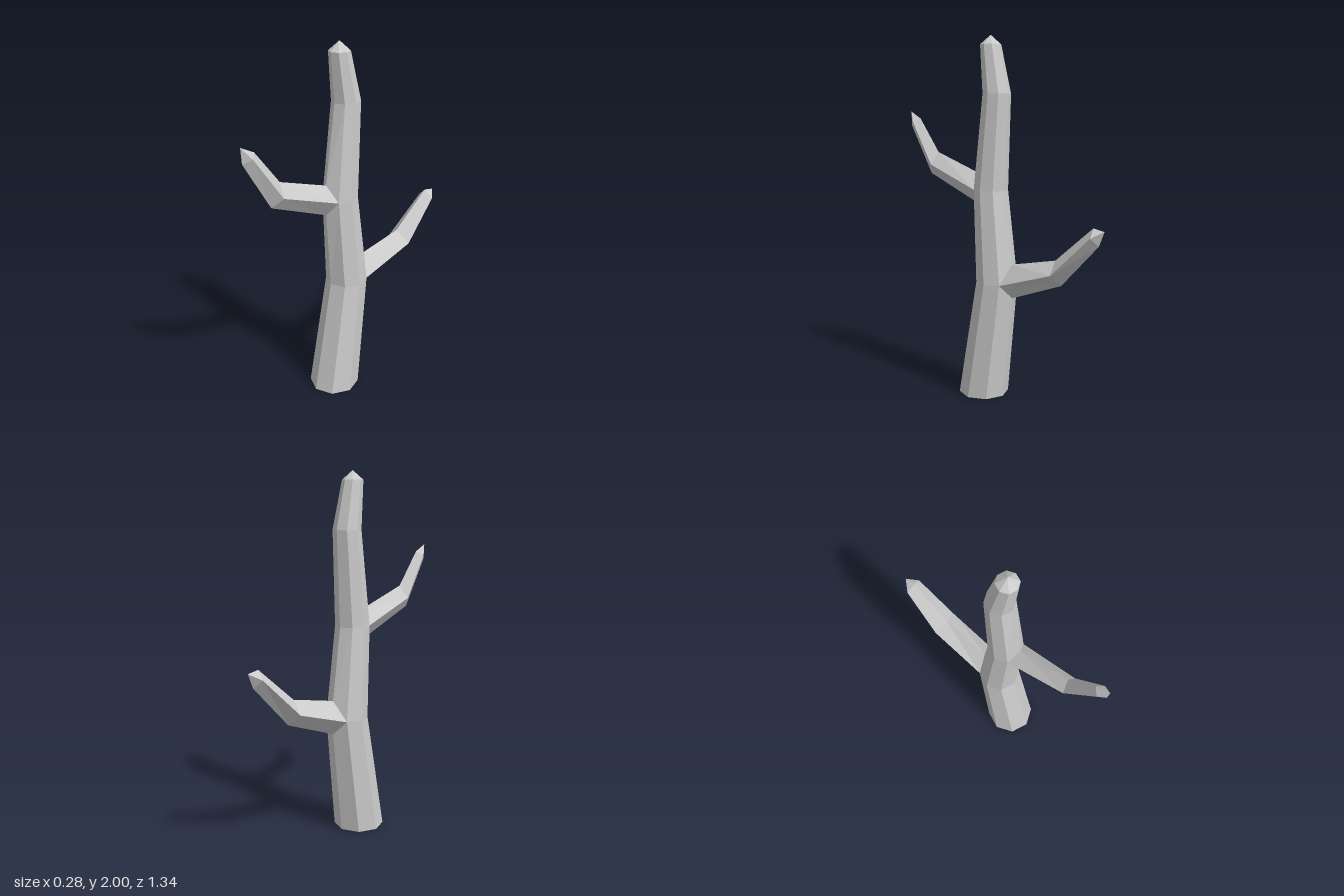
import * as THREE from 'three';

const material = new THREE.MeshStandardMaterial({
  color: 0xcccccc, flatShading: true, side: THREE.DoubleSide,
});

// Skins pairs of [lower, upper] cross-sections and closes the end with a pointed tip
function skin(name, strips, tip) {
  const pos = [];
  const tri = (...pts) => pts.forEach((p) => pos.push(...p));
  for (const [a, b] of strips) {
    a.forEach((p, i) => {
      const j = (i + 1) % a.length;
      tri(p, a[j], b[j]);
      tri(p, b[j], b[i]);
    });
  }
  const end = strips[strips.length - 1][1];
  end.forEach((p, i) => tri(p, end[(i + 1) % end.length], tip));
  const geo = new THREE.BufferGeometry();
  geo.setAttribute('position', new THREE.Float32BufferAttribute(pos, 3));
  geo.computeVertexNormals();
  const mesh = new THREE.Mesh(geo, material);
  mesh.name = name;
  return mesh;
}

// Eight-sided level ring of the trunk
function octagon({ y, z, r }) {
  return Array.from({ length: 8 }, (_, k) => {
    const t = (k * Math.PI) / 4;
    return [r * Math.cos(t), y, z - r * Math.sin(t)];
  });
}

// Four-sided branch; each section is side [x, y, z], top [y, z], bottom [y, z]
function branch(name, dir, sections, tip) {
  const rings = sections.map(({ side: [x, y, z], top, bottom }) => [
    [dir * x, y, z], [0, ...top], [-dir * x, y, z], [0, ...bottom],
  ]);
  return skin(name, rings.slice(1).map((r, i) => [rings[i], r]), tip);
}

export function createModel() {
  const group = new THREE.Group();
  group.name = 'bareTree';

  const back = [
    { side: [0.081, 0.66, -0.063], top: [0.77, -0.09], bottom: [0.58, -0.09] },
    { side: [0.08, 0.765, -0.398], top: [0.83, -0.375], bottom: [0.7, -0.414] },
    { side: [0.05, 0.98, -0.615], top: [1.025, -0.603], bottom: [0.935, -0.637] },
  ];
  const front = [
    { side: [0.067, 1.17, 0.127], top: [1.26, 0.157], bottom: [1.09, 0.158] },
    { side: [0.05, 1.29, 0.467], top: [1.36, 0.452], bottom: [1.235, 0.51] },
    { side: [0.033, 1.53, 0.625], top: [1.55, 0.594], bottom: [1.505, 0.665] },
  ];

  // Trunk: open at the foot, with one corner parted where each branch leaves
  const trunkRings = [
    { y: 0, z: 0.115, r: 0.14 },
    { y: 0.66, z: 0.018, r: 0.115, corner: 2, base: back[0] },
    { y: 1.17, z: 0.06, r: 0.095, corner: 6, base: front[0] },
    { y: 1.69, z: 0.018, r: 0.077 },
    { y: 1.95, z: 0.06, r: 0.057 },
  ];
  const parted = (ring, edge) => {
    const pts = octagon(ring);
    if (ring.base) pts[ring.corner] = [0, ...ring.base[edge]];
    return pts;
  };
  const strips = trunkRings.slice(1).map((ring, i) => [
    parted(trunkRings[i], 'top'), parted(ring, 'bottom'),
  ]);
  group.add(skin('trunk', strips, [0, 2, 0.06]));

  // Branches
  group.add(branch('backBranch', -1, back, [0, 1.013, -0.668]));
  group.add(branch('frontBranch', 1, front, [0, 1.59, 0.67]));
  return group;
}
